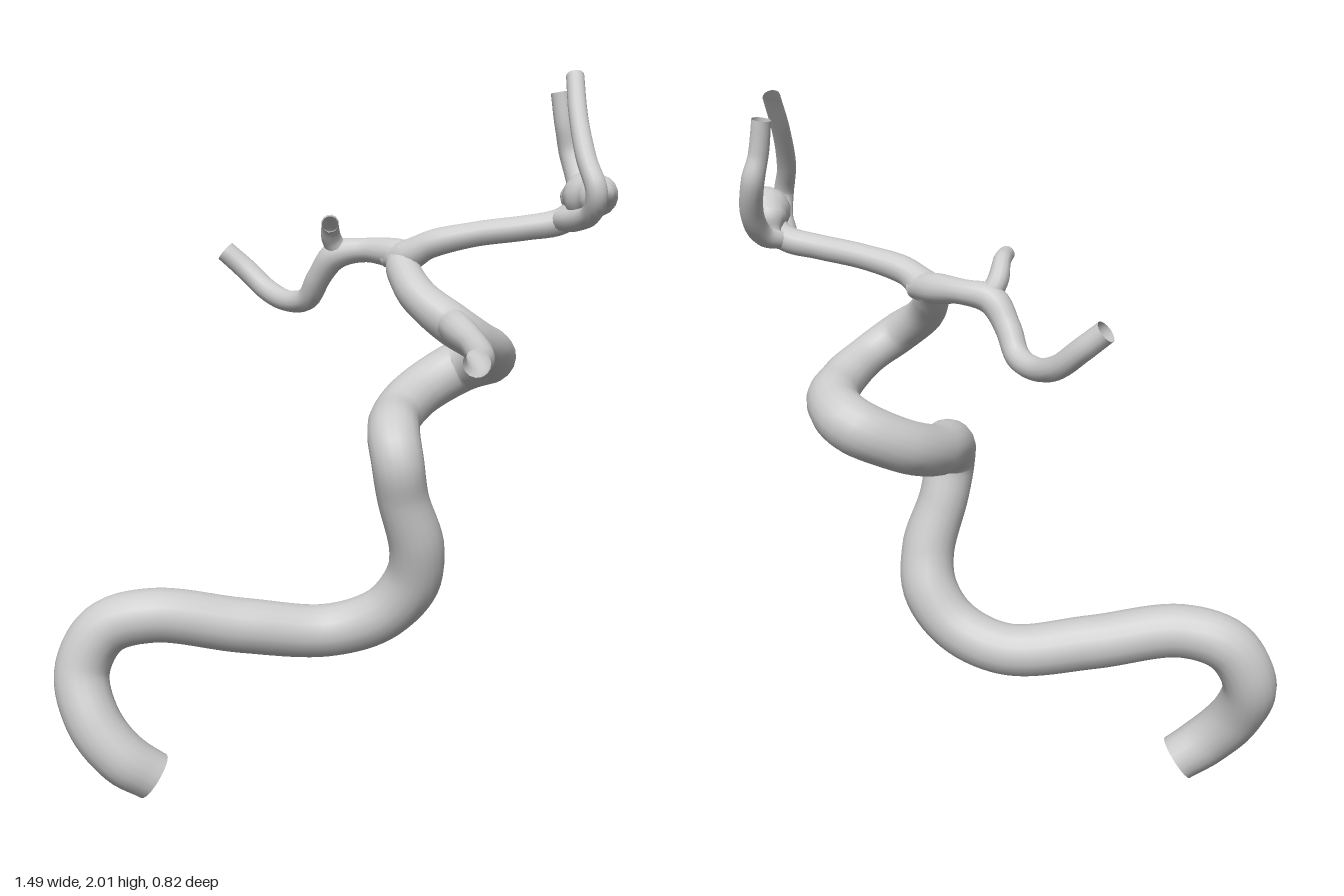
import * as THREE from 'three';

const material = new THREE.MeshStandardMaterial({ color: 0xcccccc, side: THREE.DoubleSide });

// Open tube through points [x, y, z, radius], with the radius varying along the path
function vessel(name, pts, rings, sides = 14) {
  const curve = new THREE.CatmullRomCurve3(pts.map(p => new THREE.Vector3(p[0], p[1], p[2])));
  curve.arcLengthDivisions = 400;
  const frames = curve.computeFrenetFrames(rings, false);
  const pos = [], index = [];
  for (let i = 0; i <= rings; i++) {
    const u = i / rings;
    const c = curve.getPointAt(u);
    const t = curve.getUtoTmapping(u) * (pts.length - 1);
    const k = Math.min(Math.floor(t), pts.length - 2);
    const r = THREE.MathUtils.lerp(pts[k][3], pts[k + 1][3], THREE.MathUtils.smoothstep(t - k, 0, 1));
    for (let j = 0; j < sides; j++) {
      const a = j / sides * Math.PI * 2;
      const p = c.clone()
        .addScaledVector(frames.normals[i], Math.cos(a) * r)
        .addScaledVector(frames.binormals[i], Math.sin(a) * r);
      pos.push(p.x, p.y, p.z);
      if (i < rings) {
        const j2 = (j + 1) % sides;
        const p0 = i * sides + j, p1 = i * sides + j2;
        index.push(p0, p1, p0 + sides, p1, p1 + sides, p0 + sides);
      }
    }
  }
  const g = new THREE.BufferGeometry();
  g.setAttribute('position', new THREE.Float32BufferAttribute(pos, 3));
  g.setIndex(index);
  g.computeVertexNormals();
  const mesh = new THREE.Mesh(g, material);
  mesh.name = name;
  return mesh;
}

export function createModel() {
  const group = new THREE.Group();
  group.name = 'arteryTree';

  // Thick winding trunk, from the lower open end up to the fork
  group.add(vessel('mainArtery', [
    [-0.455, 0.05, 0.29, 0.07], [-0.53, 0.11, 0.33, 0.075], [-0.615, 0.21, 0.335, 0.077],
    [-0.665, 0.34, 0.3, 0.078], [-0.61, 0.46, 0.265, 0.078], [-0.48, 0.5, 0.22, 0.077],
    [-0.25, 0.46, 0.11, 0.078], [-0.03, 0.435, 0.0, 0.075], [0.12, 0.49, -0.03, 0.077],
    [0.205, 0.59, -0.03, 0.08], [0.228, 0.7, 0.0, 0.077], [0.2, 0.85, 0.045, 0.071],
    [0.19, 0.96, 0.068, 0.072], [0.165, 1.02, 0.02, 0.073], [0.135, 1.05, -0.12, 0.072],
    [0.165, 1.1, -0.25, 0.074], [0.265, 1.165, -0.33, 0.077], [0.36, 1.2, -0.27, 0.073],
    [0.39, 1.235, -0.17, 0.062], [0.375, 1.28, -0.06, 0.056], [0.32, 1.33, 0.0, 0.058],
    [0.22, 1.4, -0.02, 0.052], [0.165, 1.46, -0.07, 0.048], [0.14, 1.5, -0.11, 0.04],
  ], 150, 18));

  // Short branch running forward from the upper bend
  group.add(vessel('forwardBranch', [
    [0.31, 1.335, -0.01, 0.045], [0.35, 1.325, 0.06, 0.045], [0.42, 1.3, 0.16, 0.036],
    [0.46, 1.28, 0.25, 0.037], [0.467, 1.275, 0.32, 0.036],
  ], 24));

  // Branch dropping and rising again on the right
  group.add(vessel('rightBranch', [
    [0.2, 1.5, -0.095, 0.035], [0.13, 1.505, -0.115, 0.042], [0.03, 1.51, -0.135, 0.034],
    [-0.05, 1.495, -0.125, 0.04], [-0.105, 1.43, -0.14, 0.035], [-0.15, 1.365, -0.17, 0.033],
    [-0.22, 1.35, -0.205, 0.031], [-0.3, 1.375, -0.245, 0.032], [-0.37, 1.43, -0.26, 0.032],
    [-0.435, 1.485, -0.253, 0.031],
  ], 60));

  // Small hooked twig
  group.add(vessel('rightTwig', [
    [-0.04, 1.5, -0.125, 0.03], [-0.055, 1.545, -0.1, 0.028], [-0.045, 1.585, -0.06, 0.024],
    [-0.022, 1.59, 0.01, 0.022],
  ], 20, 12));

  // Long branch running to the left
  group.add(vessel('leftBranch', [
    [0.1, 1.495, -0.115, 0.03], [0.165, 1.5, -0.095, 0.045], [0.235, 1.535, -0.085, 0.038],
    [0.36, 1.565, -0.1, 0.034], [0.49, 1.583, -0.12, 0.034], [0.58, 1.6, -0.14, 0.036],
    [0.635, 1.635, -0.145, 0.04],
  ], 44));

  // Two upright end vessels
  group.add(vessel('frontUprightVessel', [
    [0.585, 1.605, -0.13, 0.03], [0.64, 1.61, -0.06, 0.029], [0.69, 1.635, 0.0, 0.028],
    [0.705, 1.69, 0.028, 0.029], [0.672, 1.77, 0.0, 0.027], [0.635, 1.88, -0.07, 0.025],
    [0.61, 1.985, -0.145, 0.024],
  ], 48));
  group.add(vessel('backUprightVessel', [
    [0.58, 1.6, -0.13, 0.03], [0.615, 1.618, -0.2, 0.031], [0.61, 1.68, -0.255, 0.032],
    [0.575, 1.78, -0.295, 0.031], [0.56, 1.85, -0.285, 0.027], [0.545, 1.943, -0.285, 0.026],
  ], 42));

  // Bulging sac between them, tapering into the front vessel
  group.add(vessel('sac', [
    [0.595, 1.62, -0.18, 0.02], [0.62, 1.655, -0.165, 0.05], [0.652, 1.67, -0.13, 0.066],
    [0.69, 1.675, -0.085, 0.055], [0.712, 1.68, -0.035, 0.032], [0.708, 1.68, 0.02, 0.024],
  ], 32, 16));

  return group;
}
